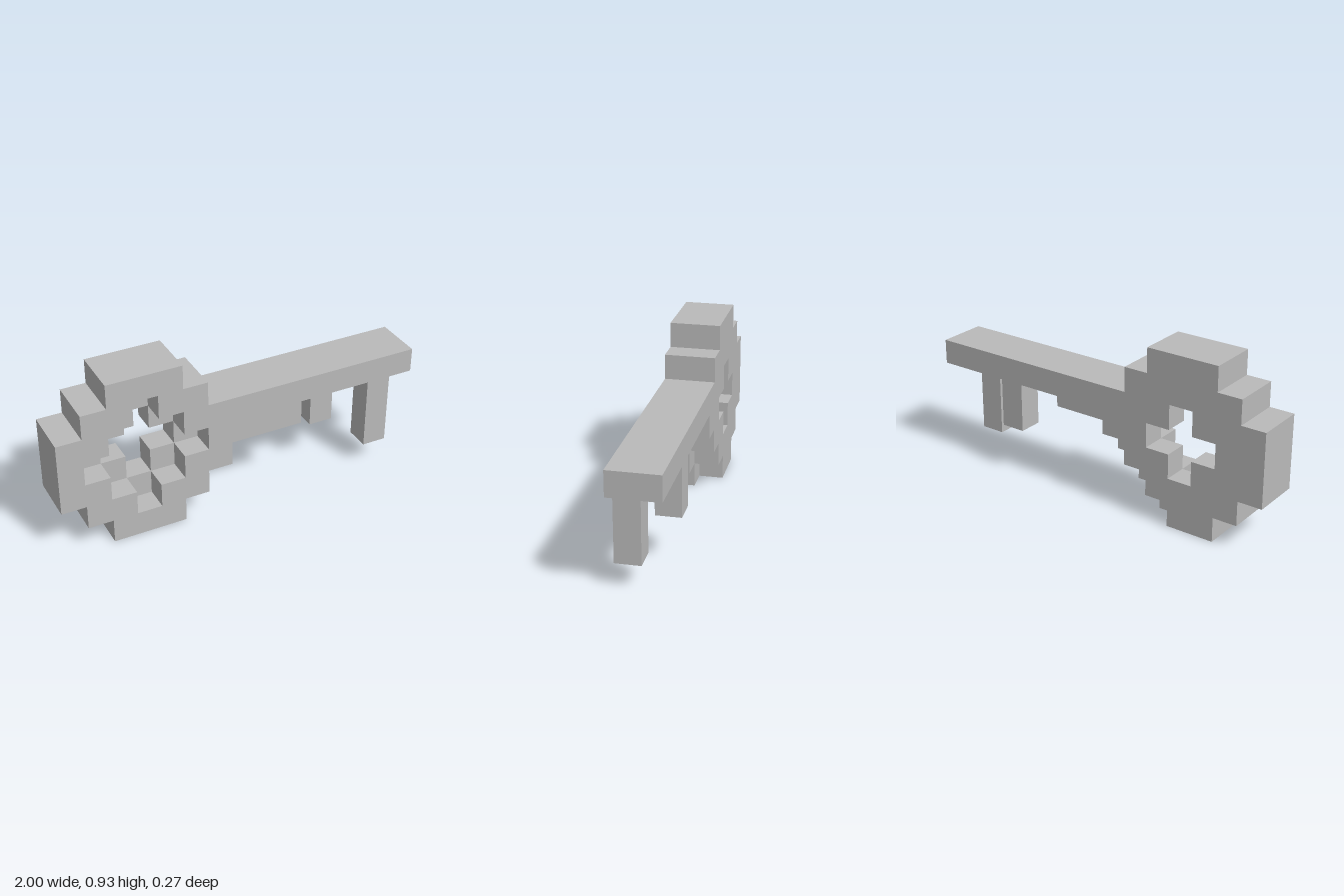
import * as THREE from 'three';

const U = 2 / 15; // one block

// Grid coordinates: column from the left, row from the top
const toPoint = ([c, r]) => new THREE.Vector2(-1 + c * U, (7 - r) * U);

export function createModel() {
  const key = new THREE.Group();
  key.name = 'key';
  const gray = new THREE.MeshStandardMaterial({ color: 0xbababa });
  gray.name = 'gray';

  const add = (name, geometry) => {
    const mesh = new THREE.Mesh(geometry, gray);
    mesh.name = name;
    key.add(mesh);
  };

  // Block from column c0 to c1, row r0 to r1, layer z0 to z1
  const block = (name, c0, c1, r0, r1, z0, z1) => {
    const g = new THREE.BoxGeometry((c1 - c0) * U, (r1 - r0) * U, (z1 - z0) * U);
    g.translate(-1 + (c0 + c1) / 2 * U, (7 - (r0 + r1) / 2) * U, (z0 + z1) / 2 * U);
    add(name, g);
  };

  // One-block-thick plate with a hole, which runs opposite to the outline so its walls face inwards
  const plate = (name, outline, hole, z0) => {
    const shape = new THREE.Shape(outline.map(toPoint));
    shape.holes.push(new THREE.Path(hole.map(toPoint).reverse()));
    const g = new THREE.ExtrudeGeometry(shape, { depth: U, bevelEnabled: false });
    g.translate(0, 0, z0 * U);
    add(name, g);
  };

  // Stepped ring of the handle: shared upper and left edges, different lower right steps
  const leftEdge = [[2, 7], [2, 6], [1, 6], [1, 5], [0, 5], [0, 2], [1, 2], [1, 1], [2, 1]];
  const topEdge = [[2, 0], [5, 0], [5, 1], [6, 1], [6, 2], [7, 2]];
  const frontSteps = [[7, 5], [6, 5], [6, 6], [5, 6], [5, 7]];
  const backSteps = [[7, 4], [6, 4], [6, 5], [5, 5], [5, 6], [4, 6], [4, 7]];

  // Diamond opening in front, smaller cross opening behind
  const diamond = [[3, 1], [4, 1], [4, 2], [5, 2], [5, 3], [6, 3], [6, 4], [5, 4], [5, 5], [4, 5],
    [4, 6], [3, 6], [3, 5], [2, 5], [2, 4], [1, 4], [1, 3], [2, 3], [2, 2], [3, 2]];
  const cross = [[3, 2], [4, 2], [4, 3], [5, 3], [5, 4], [4, 4], [4, 5], [3, 5], [3, 4], [2, 4], [2, 3], [3, 3]];

  plate('handleFront', [...topEdge, ...frontSteps, ...leftEdge], diamond, 0);
  plate('handleBack', [...topEdge, ...backSteps, ...leftEdge], cross, -1);

  // Shaft and the thinner rib under it
  block('shaft', 7, 15, 2, 3, -1, 1);
  block('shaftRib', 7, 10, 3, 4, 0, 1);

  // Teeth
  block('shortTooth', 11, 12, 3, 5, -1, 0);
  block('longTooth', 13, 14, 3, 6, 0, 1);

  return key;
}
